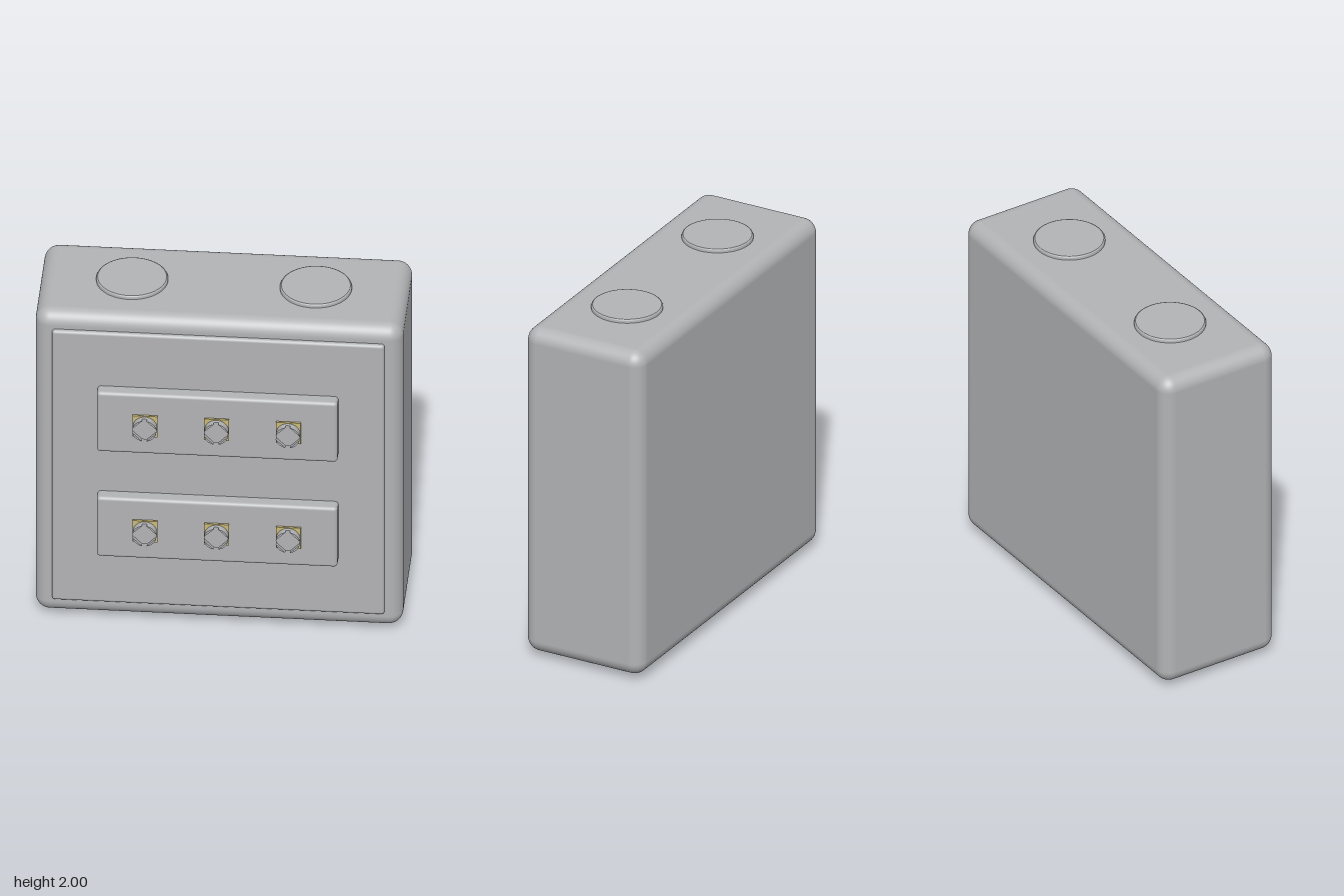
import * as THREE from 'three';
import { RoundedBoxGeometry } from 'three/addons/geometries/RoundedBoxGeometry.js';

const grey = new THREE.MeshStandardMaterial({ color: 0xb2b3b5 });
grey.name = 'grey plastic';
const brass = new THREE.MeshStandardMaterial({ color: 0xc8b878 });
brass.name = 'brass';

function add(parent, name, geometry, material, x, y, z) {
  const mesh = new THREE.Mesh(geometry, material);
  mesh.name = name;
  mesh.position.set(x, y, z);
  parent.add(mesh);
  return mesh;
}

// One quarter of the screw head, leaving half a slot along each straight side
function headQuarterGeometry(radius, halfSlot, depth) {
  const a = Math.asin(halfSlot / radius);
  const shape = new THREE.Shape();
  shape.moveTo(halfSlot, halfSlot);
  shape.absarc(0, 0, radius, a, Math.PI / 2 - a, false);
  shape.closePath();
  return new THREE.ExtrudeGeometry(shape, { depth, bevelEnabled: false, curveSegments: 10 });
}

const HEAD_R = 0.066;
const quarterGeo = headQuarterGeometry(HEAD_R, 0.013, 0.022);
const headBaseGeo = new THREE.CylinderGeometry(HEAD_R, HEAD_R, 0.02, 40).rotateX(Math.PI / 2);
const shankGeo = new THREE.CylinderGeometry(0.035, 0.035, 0.06, 24).rotateX(Math.PI / 2);
const plateGeo = new THREE.BoxGeometry(0.135, 0.135, 0.012);

// Terminal: brass plate, shank and cross-slotted head
function createTerminal() {
  const terminal = new THREE.Group();
  terminal.name = 'terminal';
  add(terminal, 'screwShank', shankGeo, grey, 0, 0, 0.375);
  add(terminal, 'contactPlate', plateGeo, brass, 0, 0, 0.394);
  add(terminal, 'screwHeadBase', headBaseGeo, grey, 0, 0, 0.415);
  for (let i = 0; i < 4; i++) {
    add(terminal, 'screwHeadQuarter', quarterGeo, grey, 0, 0, 0.425).rotation.z = i * Math.PI / 2;
  }
  return terminal;
}

// Round knockout cap with a small softened rim
function capGeometry() {
  const r = 0.195;
  const points = [[r, -0.02], [r, 0.012], [r - 0.003, 0.018], [r - 0.008, 0.02]]
    .map(([x, y]) => new THREE.Vector2(x, y));
  return new THREE.LatheGeometry(points, 64);
}

export function createModel() {
  const model = new THREE.Group();
  model.name = 'junctionBox';

  // Housing and raised lid
  add(model, 'housing', new RoundedBoxGeometry(2, 1.95, 0.732, 6, 0.08), grey, 0, 1.003, -0.081);
  add(model, 'lid', new RoundedBoxGeometry(1.81, 1.75, 0.1, 4, 0.018), grey, 0, 1.005, 0.259);

  // Two terminal blocks with three screws each
  const blockGeo = new RoundedBoxGeometry(1.31, 0.386, 0.15, 4, 0.02);
  for (const y of [0.665, 1.347]) {
    add(model, 'terminalBlock', blockGeo, grey, 0, y, 0.305);
    for (const x of [-0.39, 0, 0.39]) {
      const terminal = createTerminal();
      terminal.position.set(x, y, 0);
      model.add(terminal);
    }
  }

  // Knockout caps on the top and bottom
  const rimGeo = capGeometry();
  const faceGeo = new THREE.CircleGeometry(0.187, 64).rotateX(-Math.PI / 2);
  for (const x of [-0.5, 0.5]) {
    for (const top of [true, false]) {
      const cap = new THREE.Group();
      cap.name = top ? 'topCap' : 'bottomCap';
      add(cap, 'capRim', rimGeo, grey, 0, 0, 0);
      add(cap, 'capFace', faceGeo, grey, 0, 0.02, 0);
      cap.position.set(x, top ? 1.978 : 0.02, -0.083);
      if (!top) cap.rotation.x = Math.PI;
      model.add(cap);
    }
  }
  return model;
}
